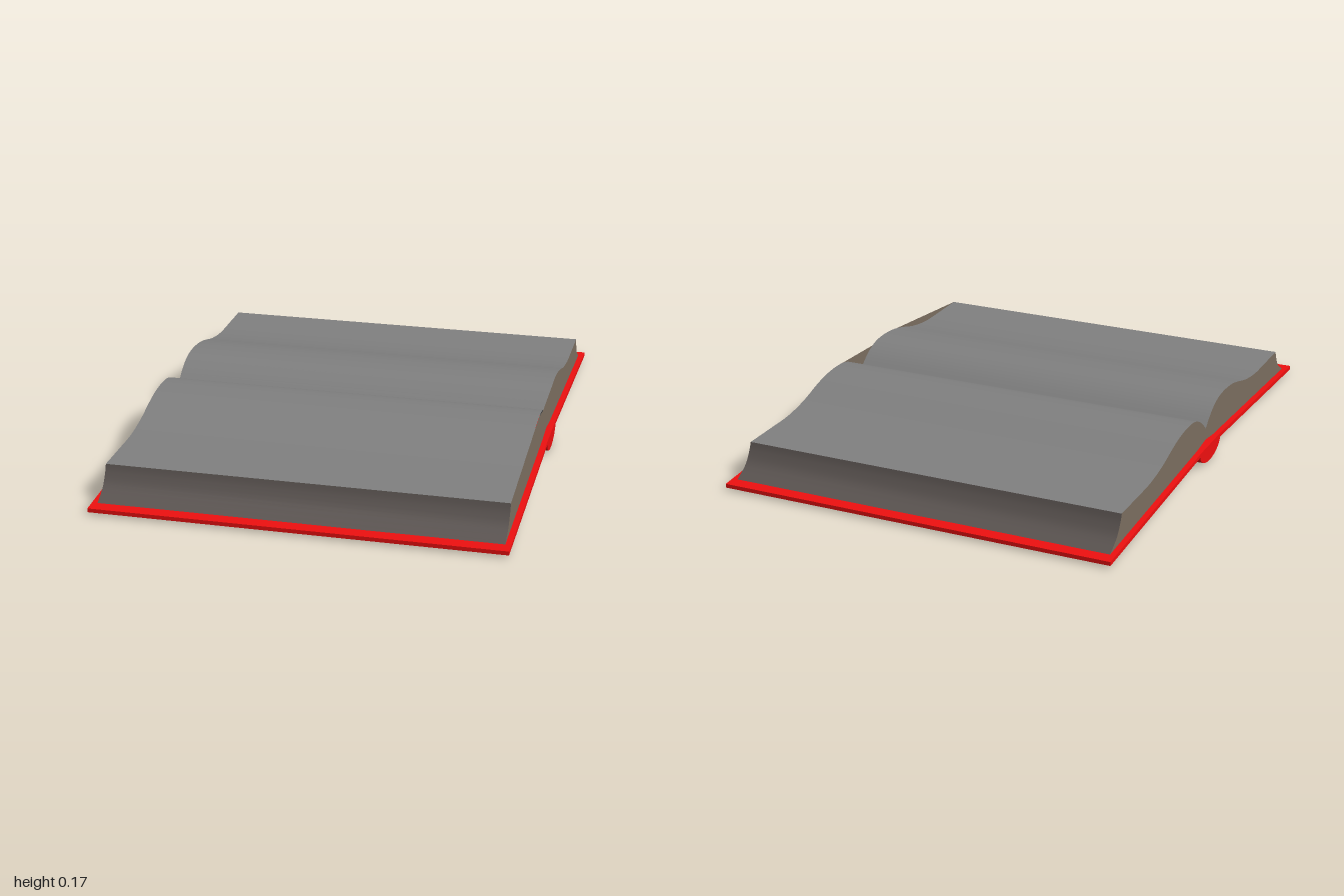
import * as THREE from 'three';

const COVER_DEPTH = 1.224, PAGE_DEPTH = 1.19;
const paint = (color) => new THREE.MeshStandardMaterial({ color, side: THREE.DoubleSide });
const smooth = (points, n) => new THREE.SplineCurve(points.map(([x, y]) => new THREE.Vector2(x, y))).getPoints(n);
const mirror = (points) => points.map((p) => new THREE.Vector2(-p.x, p.y)).reverse();

// Sheet swept along z from a profile running left to right, facing up
function ribbon(name, profile, material) {
  const n = profile.length;
  const geo = new THREE.PlaneGeometry(1, 1, n - 1, 1);
  const pos = geo.attributes.position;
  for (let i = 0; i < pos.count; i++) {
    const p = profile[i % n];
    pos.setXYZ(i, p.x, p.y, (i < n ? -0.5 : 0.5) * PAGE_DEPTH);
  }
  geo.computeVertexNormals();
  const mesh = new THREE.Mesh(geo, material);
  mesh.name = name;
  return mesh;
}

// Solid prism centred on z
function prism(name, shape, material) {
  const geo = new THREE.ExtrudeGeometry(shape, { depth: COVER_DEPTH, bevelEnabled: false, curveSegments: 24 });
  geo.translate(0, 0, -COVER_DEPTH / 2);
  const mesh = new THREE.Mesh(geo, material);
  mesh.name = name;
  return mesh;
}

export function createModel() {
  const model = new THREE.Group();
  model.name = 'openBook';
  const book = new THREE.Group();
  book.name = 'book';
  book.rotation.y = Math.PI / 6;
  model.add(book);

  const red = paint(0xee1010), paper = paint(0x808080);
  const paperEnd = paint(0x7a6d5f), paperSide = paint(0x5c5552);

  // Page profiles: curved top from the valley outwards, then the hollow fore edge
  const rightTop = smooth([[0, 0.1], [0.04, 0.132], [0.08, 0.153], [0.12, 0.163], [0.17, 0.165], [0.23, 0.16],
    [0.29, 0.147], [0.37, 0.125], [0.465, 0.111], [0.57, 0.11], [0.68, 0.11]], 40);
  const rightEdge = smooth([[0.68, 0.11], [0.69, 0.085], [0.715, 0.05], [0.765, 0.02]], 10);
  const leftTop = mirror(rightTop), leftEdge = mirror(rightEdge);
  book.add(
    ribbon('rightPageTop', leftTop, paper),
    ribbon('leftPageTop', rightTop, paper),
    ribbon('rightForeEdge', leftEdge, paperSide),
    ribbon('leftForeEdge', rightEdge, paperSide),
  );

  // Ends of the page block; the front one spans the left-hand curve and valley with straight lines
  const bottom = [[0.1, 0.05], [0, 0.062], [-0.1, 0.05]].map(([x, y]) => new THREE.Vector2(x, y));
  const chord = [[-0.17, 0.165], [-0.09, 0.153], [0.1, 0.162]].map(([x, y]) => new THREE.Vector2(x, y));
  const backOutline = [...leftEdge, ...leftTop.slice(1), ...rightTop.slice(1), ...rightEdge.slice(1), ...bottom];
  const frontOutline = [...leftEdge, ...chord, ...rightTop.filter((p) => p.x > 0.11), ...rightEdge.slice(1), ...bottom];
  const front = new THREE.Mesh(new THREE.ShapeGeometry(new THREE.Shape(frontOutline)), paperEnd);
  front.name = 'frontPageEnd';
  front.position.z = PAGE_DEPTH / 2;
  const back = new THREE.Mesh(new THREE.ShapeGeometry(new THREE.Shape(mirror(backOutline))), paperEnd);
  back.name = 'backPageEnd';
  back.rotation.y = Math.PI;
  back.position.z = -PAGE_DEPTH / 2;
  book.add(front, back);

  // Cover boards, sloping down from the spine
  for (const s of [1, -1]) {
    const board = new THREE.Shape([[0.085, 0.041], [0.8, 0.008], [0.8, 0.02], [0.085, 0.053]]
      .map(([x, y]) => new THREE.Vector2(s * x, y)));
    book.add(prism(s > 0 ? 'leftCover' : 'rightCover', board, red));
  }

  // Rounded spine under the valley
  const spine = new THREE.Shape();
  spine.moveTo(-0.09, 0.047);
  spine.absellipse(0, 0.047, 0.09, 0.047, Math.PI, Math.PI * 2, false);
  spine.lineTo(0.085, 0.053);
  spine.lineTo(-0.085, 0.053);
  book.add(prism('spine', spine, red));

  return model;
}
